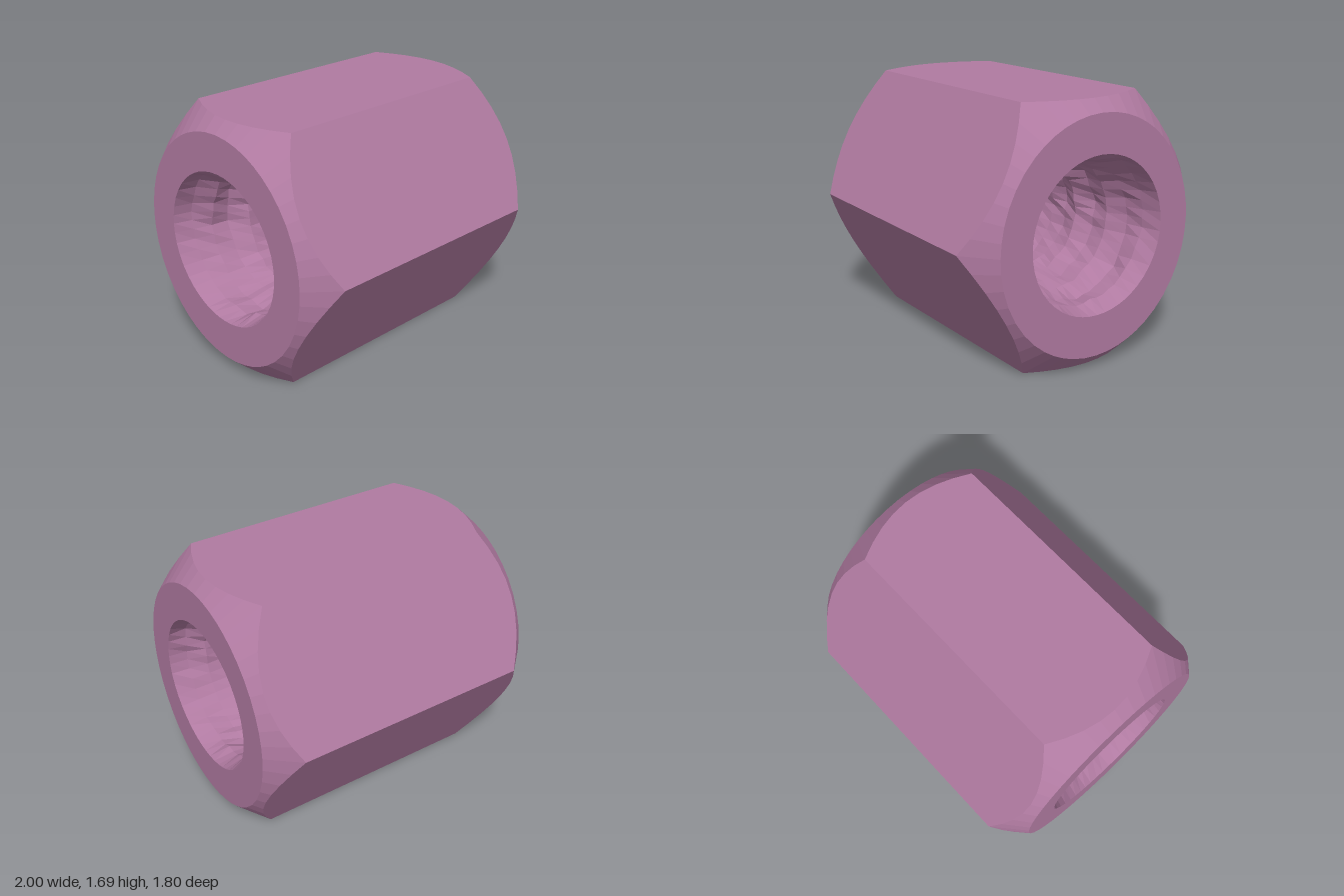
import * as THREE from 'three';

const CY = 0.85; // height of the bore axis
const STEPS = 8; // points along each hexagon side

// Skins a run of closed rings, each an array of [x, y, z] points
function loft(rings, material, name) {
  const n = rings[0].length;
  const index = [];
  for (let i = 0; i < rings.length - 1; i++) {
    for (let j = 0; j < n; j++) {
      const a = i * n + j, b = i * n + (j + 1) % n;
      index.push(a, a + n, b, b, a + n, b + n);
    }
  }
  const geometry = new THREE.BufferGeometry();
  geometry.setAttribute('position', new THREE.Float32BufferAttribute(rings.flat(2), 3));
  geometry.setIndex(index);
  geometry.computeVertexNormals();
  const mesh = new THREE.Mesh(geometry, material);
  mesh.name = name;
  return mesh;
}

export function createModel() {
  const group = new THREE.Group();
  group.name = 'hexCouplingNut';
  const mauve = new THREE.MeshStandardMaterial({ color: 0xb07aa1, flatShading: true });
  mauve.name = 'mauve';

  let seed = 7;
  const random = () => (seed = (seed * 16807) % 2147483647) / 2147483647;

  // Hexagon outline as [z, y] about the axis
  const corners = [[0.9, 0.015], [0.44, 0.84], [-0.44, 0.84], [-0.9, 0.015], [-0.415, -0.85], [0.415, -0.85]];
  const outline = [];
  corners.forEach(([z, y], i) => {
    const [z2, y2] = corners[(i + 1) % 6];
    for (let k = 0; k < STEPS; k++) {
      const t = k / STEPS;
      outline.push([z + (z2 - z) * t, y + (y2 - y) * t]);
    }
  });

  // Round rim of each end, and the curved edge where the conical chamfer meets the flats
  const flare = ([z, y]) => Math.hypot(z / 0.73, y / 0.765);
  const rim = (x) => outline.map((p) => [x, CY + p[1] / flare(p), p[0] / flare(p)]);
  const edge = (s) => outline.map((p) => [s * (1 - 0.83 * (flare(p) - 1)), CY + p[1], p[0]]);

  group.add(loft([rim(-1), edge(-1)], mauve, 'rightChamfer'));
  group.add(loft([edge(-1), edge(1)], mauve, 'hexBody'));
  group.add(loft([edge(1), rim(1)], mauve, 'leftChamfer'));

  // Bore rings: wide mouths, narrowing to a rough, slightly offset thread
  const boreRing = (x, rough) => {
    const depth = Math.min(1, (1 - Math.abs(x)) / 0.6);
    return outline.map(([z, y], j) => {
      const angle = Math.atan2(y, z);
      const thread = rough ? 0.02 * Math.sin(x * 22 + angle) : 0;
      const jag = rough && j % 2 ? 0.035 * (random() - 0.5) : 0;
      const r = 0.505 - 0.115 * depth + thread + jag;
      return [x, CY + 0.01 - 0.02 * depth + r * Math.sin(angle), 0.045 * depth + r * Math.cos(angle)];
    });
  };
  const bore = [];
  for (let i = 0; i <= 16; i++) bore.push(boreRing(1 - i / 8, i > 0 && i < 16));

  group.add(loft([rim(1), bore[0]], mauve, 'leftEndFace'));
  group.add(loft(bore, mauve, 'threadedBore'));
  group.add(loft([bore[16], rim(-1)], mauve, 'rightEndFace'));
  return group;
}
